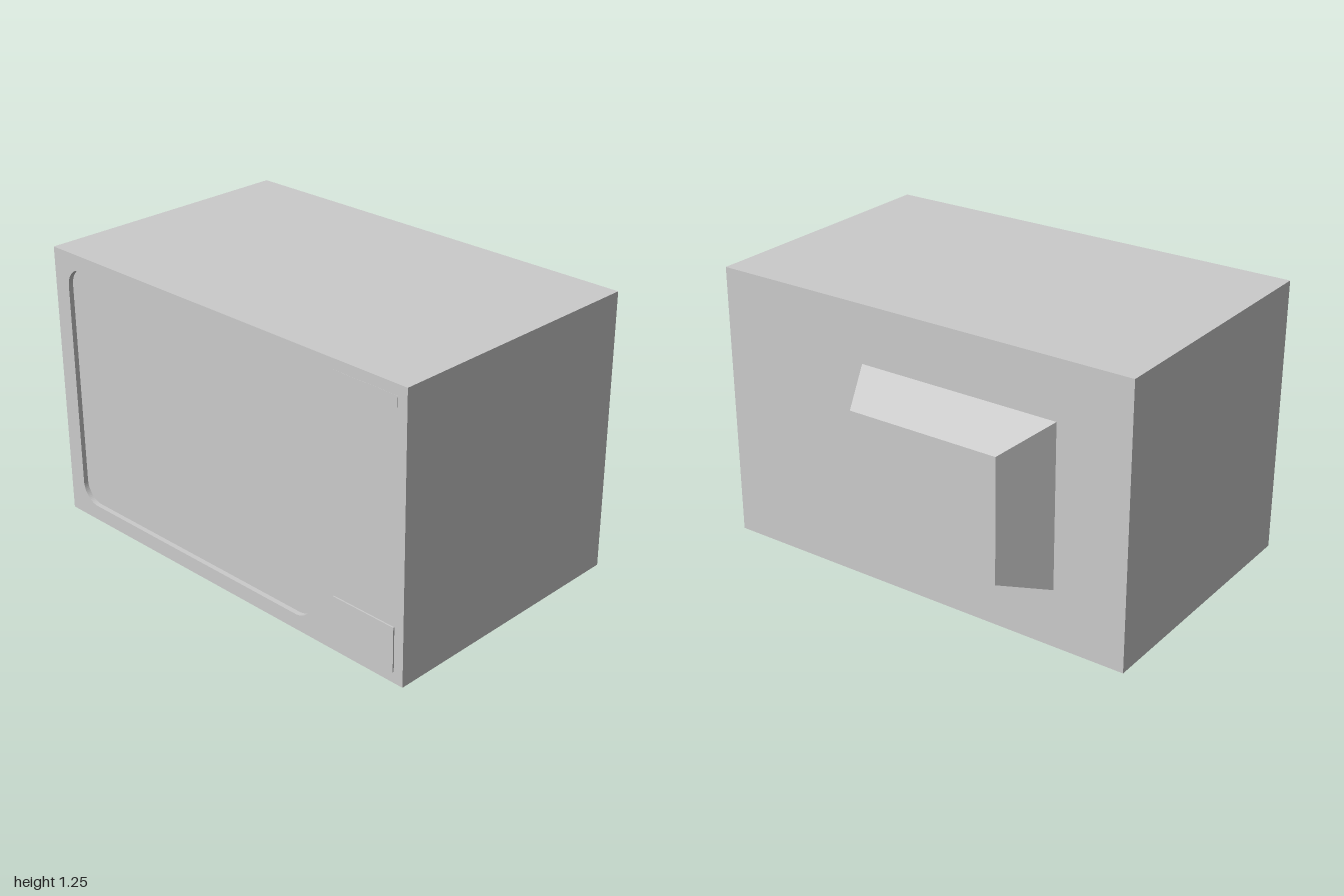
import * as THREE from 'three';

const FRONT = 0.726, BACK = -0.506, RECESS = 0.022, HEIGHT = 1.25;

function add(group, name, geometry, x = 0, y = 0, z = 0) {
  const material = new THREE.MeshStandardMaterial({ color: 0xcccccc, flatShading: true });
  const mesh = new THREE.Mesh(geometry, material);
  mesh.name = name;
  mesh.position.set(x, y, z);
  group.add(mesh);
  return mesh;
}

// Rounded rectangle outline, used for the screen opening
function roundedRect(path, x0, y0, x1, y1, r) {
  path.moveTo(x0 + r, y0);
  path.lineTo(x1 - r, y0);
  path.absarc(x1 - r, y0 + r, r, -Math.PI / 2, 0);
  path.lineTo(x1, y1 - r);
  path.absarc(x1 - r, y1 - r, r, 0, Math.PI / 2);
  path.lineTo(x0 + r, y1);
  path.absarc(x0 + r, y1 - r, r, Math.PI / 2, Math.PI);
  path.lineTo(x0, y0 + r);
  path.absarc(x0 + r, y0 + r, r, Math.PI, Math.PI * 1.5);
  return path;
}

export function createModel() {
  const tv = new THREE.Group();
  tv.name = 'television';

  // Cabinet; its front face is the floor of the screen recess
  const depth = FRONT - RECESS - BACK;
  add(tv, 'cabinet', new THREE.BoxGeometry(2, HEIGHT, depth), 0, HEIGHT / 2, BACK + depth / 2);

  // Front frame with the rounded screen opening
  const face = new THREE.Shape();
  face.moveTo(-1, 0).lineTo(1, 0).lineTo(1, HEIGHT).lineTo(-1, HEIGHT).closePath();
  face.holes.push(roundedRect(new THREE.Path(), -0.915, 0.07, 0.515, 1.185, 0.09));
  add(tv, 'frontFrame', new THREE.ExtrudeGeometry(face, {
    depth: RECESS, bevelEnabled: false, curveSegments: 8,
  }), 0, 0, FRONT - RECESS);

  // Tapered housing for the tube: a box whose rear face is pulled in
  const housing = new THREE.BoxGeometry(0.94, 0.73, 0.225);
  const p = housing.attributes.position;
  for (let i = 0; i < p.count; i++) {
    if (p.getZ(i) < 0) {
      p.setX(i, Math.sign(p.getX(i)) * 0.35);
      p.setY(i, Math.sign(p.getY(i)) * 0.275);
    }
  }
  housing.computeVertexNormals();
  add(tv, 'tubeHousing', housing, -0.2, 0.625, BACK - 0.1125);

  // Raised control door, and the almost flush plate above it
  add(tv, 'controlDoor', new THREE.BoxGeometry(0.315, 0.2, 0.016), 0.797, 0.15, FRONT - 0.002);
  add(tv, 'upperPlate', new THREE.BoxGeometry(0.315, 0.11, 0.01), 0.797, 1.15, FRONT - 0.0042);

  return tv;
}
